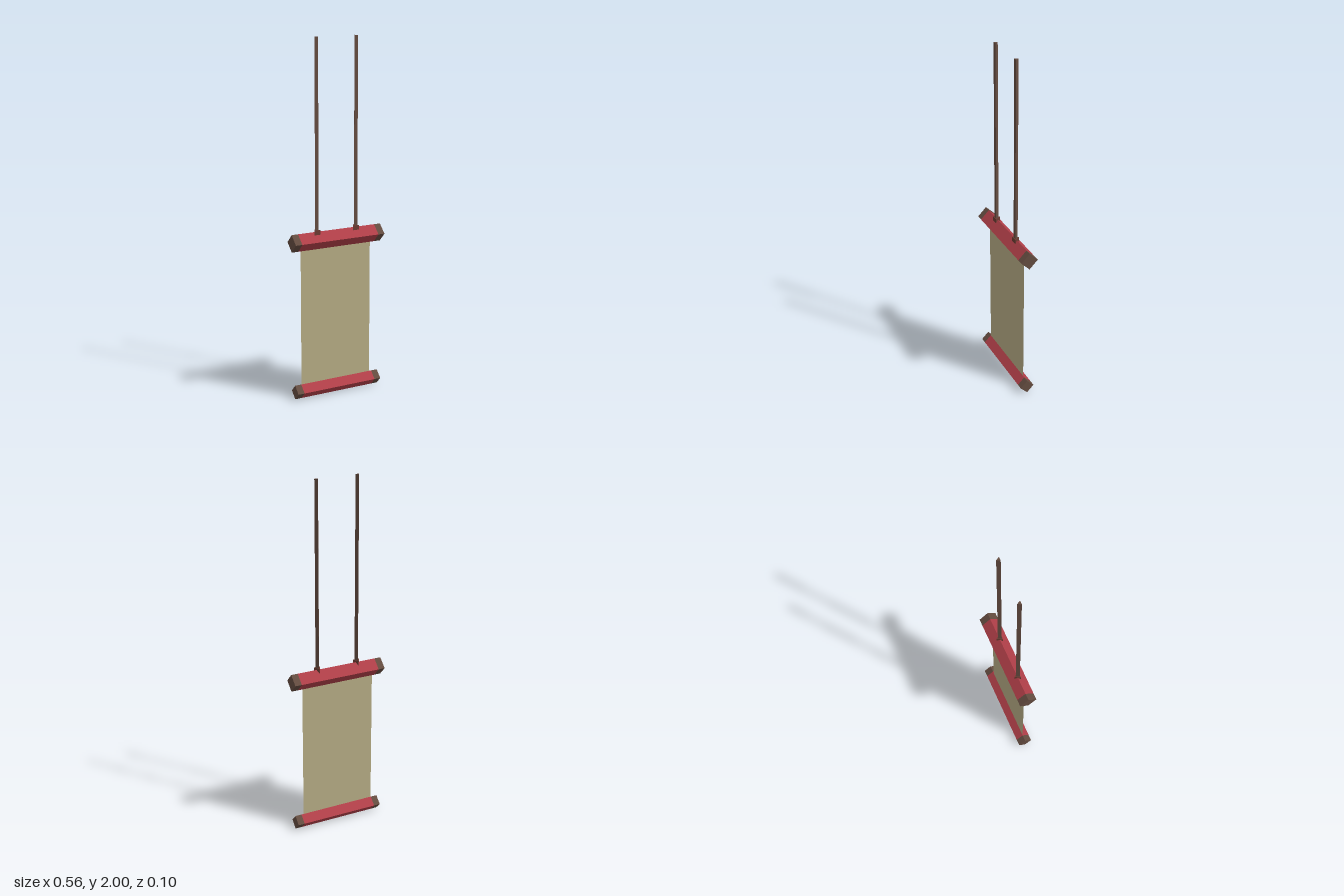
import * as THREE from 'three';

const material = (name, color, extra = {}) =>
  Object.assign(new THREE.MeshStandardMaterial({ color, flatShading: true, ...extra }), { name });

export function createModel() {
  const group = new THREE.Group();
  group.name = 'hangingBanner';
  const red = material('redPaint', 0xb03f48);
  const wood = material('brownWood', 0x644c40);
  const knotBrown = material('reddishBrown', 0x6c3b32);
  const linen = material('linen', 0xb5ab84, { side: THREE.DoubleSide });

  const add = (name, geometry, mat, x, y, z, parent = group) => {
    const mesh = new THREE.Mesh(geometry, mat);
    mesh.name = name;
    mesh.position.set(x, y, z);
    parent.add(mesh);
    return mesh;
  };

  // Four-sided bar standing on its edge, with a wooden cap at each end
  const addBar = (name, y, radius, half, redHalf) => {
    const bar = new THREE.Group();
    bar.name = name;
    bar.position.y = y;
    group.add(bar);
    const prism = (length, open) =>
      new THREE.CylinderGeometry(radius, radius, length, 4, 1, open).rotateZ(Math.PI / 2);
    add(name + 'Middle', prism(redHalf * 2, true), red, 0, 0, 0, bar);
    for (const side of [-1, 1]) {
      add(name + 'Cap', prism(half - redHalf, false), wood, side * (half + redHalf) / 2, 0, 0, bar);
    }
  };
  addBar('topBar', 0.895, 0.049, 0.28, 0.241);
  addBar('bottomBar', 0.04, 0.04, 0.266, 0.228);

  // Cloth stretched between the bars
  add('cloth', new THREE.PlaneGeometry(0.44, 0.855), linen, -0.006, 0.4675, 0);

  // Three-sided cords, each with a knot where it meets the top bar
  const triangle = (radius, height) =>
    new THREE.CylinderGeometry(radius, radius, height, 3, 1, false, Math.PI);
  for (const x of [-0.13, 0.115]) {
    add('cord', triangle(0.0127, 1.07), wood, x, 1.465, 0.004);
    add('knot', triangle(0.022, 0.03), knotBrown, x, 0.94, 0.004);
  }
  return group;
}
